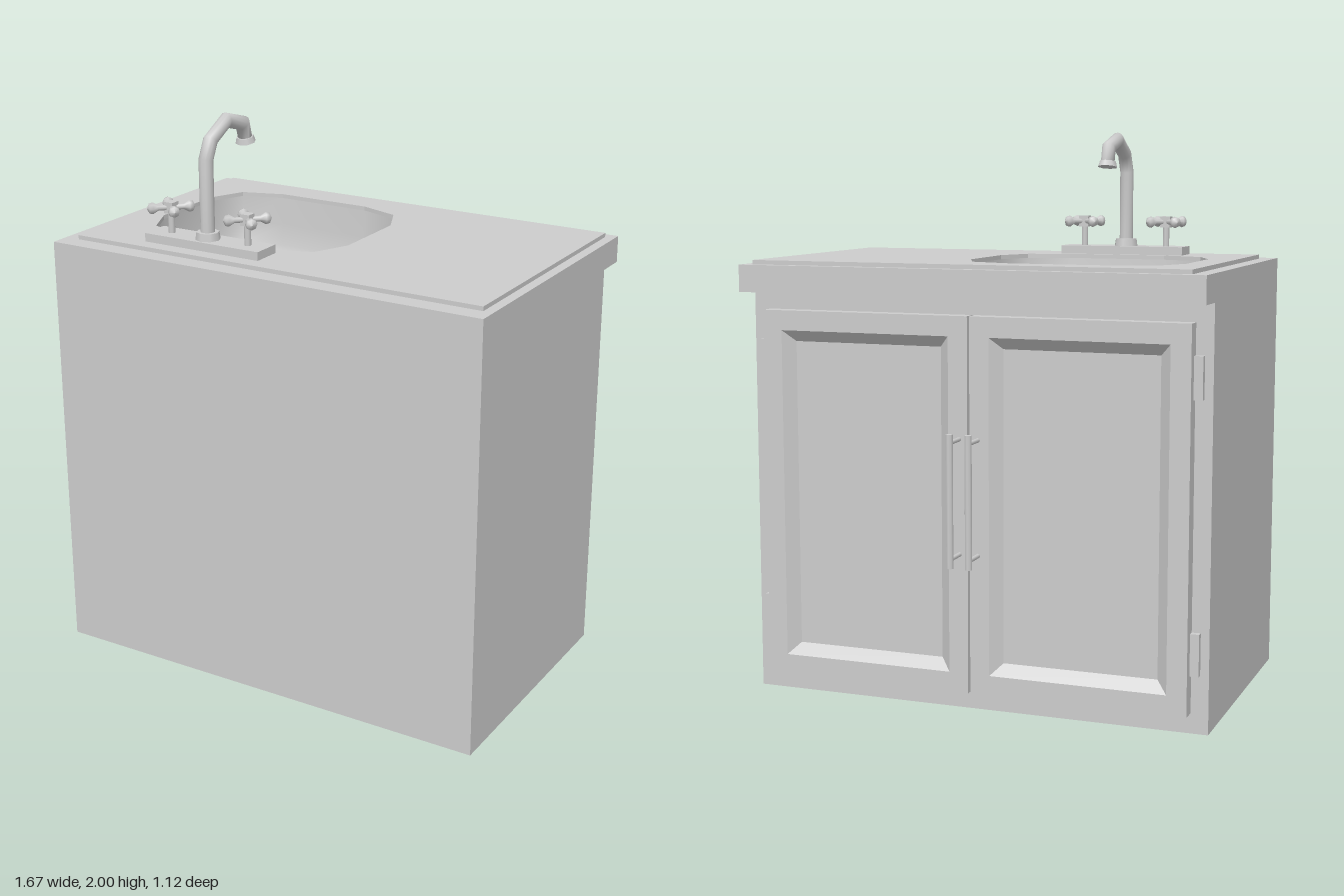
import * as THREE from 'three';

const steel = new THREE.MeshStandardMaterial({ color: 0xcccccc, side: THREE.DoubleSide });
steel.name = 'plain grey';

function add(parent, name, geometry, x = 0, y = 0, z = 0) {
  const mesh = new THREE.Mesh(geometry, steel);
  mesh.name = name;
  mesh.position.set(x, y, z);
  parent.add(mesh);
  return mesh;
}

// Box given by its minimum and maximum corners
function block(parent, name, [x0, y0, z0], [x1, y1, z1]) {
  return add(parent, name, new THREE.BoxGeometry(x1 - x0, y1 - y0, z1 - z0),
    (x0 + x1) / 2, (y0 + y1) / 2, (z0 + z1) / 2);
}

// Skin over closed rings of points, with the last ring filled
function loft(rings, smooth) {
  const n = rings[0].length, index = [];
  for (let i = 0; i < rings.length - 1; i++) {
    for (let j = 0; j < n; j++) {
      const a = i * n + j, b = i * n + (j + 1) % n;
      index.push(a, b, b + n, a, b + n, a + n);
    }
  }
  const last = (rings.length - 1) * n;
  for (let j = 1; j < n - 1; j++) index.push(last, last + j, last + j + 1);
  let g = new THREE.BufferGeometry();
  g.setAttribute('position', new THREE.Float32BufferAttribute(rings.flat(2), 3));
  g.setIndex(index);
  if (!smooth) g = g.toNonIndexed();
  g.computeVertexNormals();
  return g;
}

// Basin outline, anticlockwise from above, as [x, -z]
const basinX = -0.29, basinZ = -0.03;
const corner = [[0.39, 0.15], [0.33, 0.28], [0.18, 0.33]];
const flipped = corner.slice().reverse();
const outline = [
  ...corner,
  ...flipped.map(([x, y]) => [-x, y]),
  ...corner.map(([x, y]) => [-x, -y]),
  ...flipped.map(([x, y]) => [x, -y]),
];

// Flat rectangle pierced by the basin opening
function topShape(x0, x1, z0, z1) {
  const s = new THREE.Shape([[x0, -z1], [x1, -z1], [x1, -z0], [x0, -z0]].map(p => new THREE.Vector2(...p)));
  s.holes.push(new THREE.Path(outline.map(([x, y]) => new THREE.Vector2(basinX + x, y - basinZ)).reverse()));
  return s;
}

function makeCabinet() {
  const g = new THREE.Group();
  g.name = 'cabinet';
  // Carcass without its top face, so the basin can hang inside
  const box = new THREE.BoxGeometry(1.67, 1.54, 0.96);
  const idx = Array.from(box.index.array);
  idx.splice(12, 6);
  box.setIndex(idx);
  box.clearGroups();
  add(g, 'carcass', box, 0, 0.77, 0.08);
  block(g, 'counterOverhang', [-0.835, 1.445, -0.515], [0.835, 1.54, -0.4]);
  add(g, 'counterTop', new THREE.ShapeGeometry(topShape(-0.835, 0.835, -0.4, 0.56)).rotateX(-Math.PI / 2), 0, 1.54, 0);
  const slab = new THREE.ExtrudeGeometry(topShape(-0.78, 0.8, -0.48, 0.49), { depth: 0.015, bevelEnabled: false });
  add(g, 'raisedTop', slab.rotateX(-Math.PI / 2), 0, 1.54, 0);
  // Bowl: [scale, depth]
  const rings = [[1, 0], [0.98, 0.1], [0.95, 0.18], [0.88, 0.24], [0.74, 0.28], [0.4, 0.3], [0.05, 0.305]]
    .map(([s, d]) => outline.map(([x, y]) => [x * s, -d, -y * s]));
  add(g, 'basin', loft(rings, true), basinX, 1.54, basinZ);
  return g;
}

function makeDoor(side) {
  const g = new THREE.Group();
  g.name = side > 0 ? 'leftDoor' : 'rightDoor';
  // Frame with a bevelled, sunken panel: [inset, z]
  const w = 0.385, h = 0.655;
  const rings = [[0, -0.4], [0, -0.455], [0.07, -0.455], [0.11, -0.42]].map(([d, z]) =>
    [[w - d, d - h, z], [d - w, d - h, z], [d - w, h - d, z], [w - d, h - d, z]]);
  add(g, 'doorPanel', loft(rings, false), side * 0.389, 0.725, 0);
  for (const y of [0.275, 1.2]) {
    add(g, 'hinge', new THREE.BoxGeometry(0.04, 0.145, 0.022), side * 0.785, y, -0.411);
  }
  // Bar handle on two posts
  add(g, 'handleBar', new THREE.CylinderGeometry(0.013, 0.013, 0.46, 8), side * 0.034, 0.76, -0.542);
  for (const y of [0.56, 0.96]) {
    add(g, 'handlePost', new THREE.CylinderGeometry(0.008, 0.008, 0.09, 8).rotateX(Math.PI / 2), side * 0.034, y, -0.495);
  }
  return g;
}

// Mitred tube along a path of [z, y] points
function bentTube(path, radius, sides) {
  const pts = path.map(([z, y]) => new THREE.Vector2(z, y));
  const rings = pts.map((p, i) => {
    const before = (i ? p.clone().sub(pts[i - 1]) : pts[1].clone().sub(p)).normalize();
    const after = (i < pts.length - 1 ? pts[i + 1].clone().sub(p) : before.clone()).normalize();
    const t = before.clone().add(after).normalize();
    const r = radius / t.dot(before);
    return Array.from({ length: sides }, (_, k) => {
      const a = k / sides * Math.PI * 2;
      return [radius * Math.cos(a), p.y + t.x * r * Math.sin(a), p.x - t.y * r * Math.sin(a)];
    });
  });
  return loft(rings, true);
}

function makeTap() {
  const g = new THREE.Group();
  g.name = 'tap';
  block(g, 'tapPlate', [-0.53, 1.555, 0.325], [-0.065, 1.585, 0.435]);
  add(g, 'spoutCollar', new THREE.CylinderGeometry(0.04, 0.044, 0.027, 8), -0.3, 1.598, 0.385);
  const path = [[0.385, 1.585], [0.385, 1.86], [0.355, 1.922], [0.26, 1.973], [0.16, 1.945], [0.145, 1.89]];
  add(g, 'spout', bentTube(path, 0.025, 12), -0.3, 0, 0);
  const nozzle = add(g, 'nozzle', new THREE.CylinderGeometry(0.03, 0.036, 0.02, 8), -0.3, 1.886, 0.145);
  nozzle.rotation.x = 0.2;

  // Cross-handled valves
  const armProfile = [[0.01, 0], [0.01, 0.045], [0.021, 0.063], [0.018, 0.076], [0, 0.084]]
    .map(p => new THREE.Vector2(...p));
  for (const x of [-0.455, -0.14]) {
    const valve = new THREE.Group();
    valve.name = 'valve';
    valve.position.set(x, 1.585, 0.38);
    add(valve, 'valveStem', new THREE.CylinderGeometry(0.012, 0.012, 0.08, 8), 0, 0.04, 0);
    add(valve, 'valveHub', new THREE.BoxGeometry(0.036, 0.04, 0.036), 0, 0.09, 0);
    for (let k = 0; k < 4; k++) {
      const arm = new THREE.LatheGeometry(armProfile, 8).rotateZ(-Math.PI / 2).rotateY(Math.PI / 4 + k * Math.PI / 2);
      add(valve, 'valveArm', arm, 0, 0.09, 0);
    }
    g.add(valve);
  }
  return g;
}

export function createModel() {
  const model = new THREE.Group();
  model.name = 'sinkCabinet';
  model.add(makeCabinet(), makeDoor(1), makeDoor(-1), makeTap());
  return model;
}
